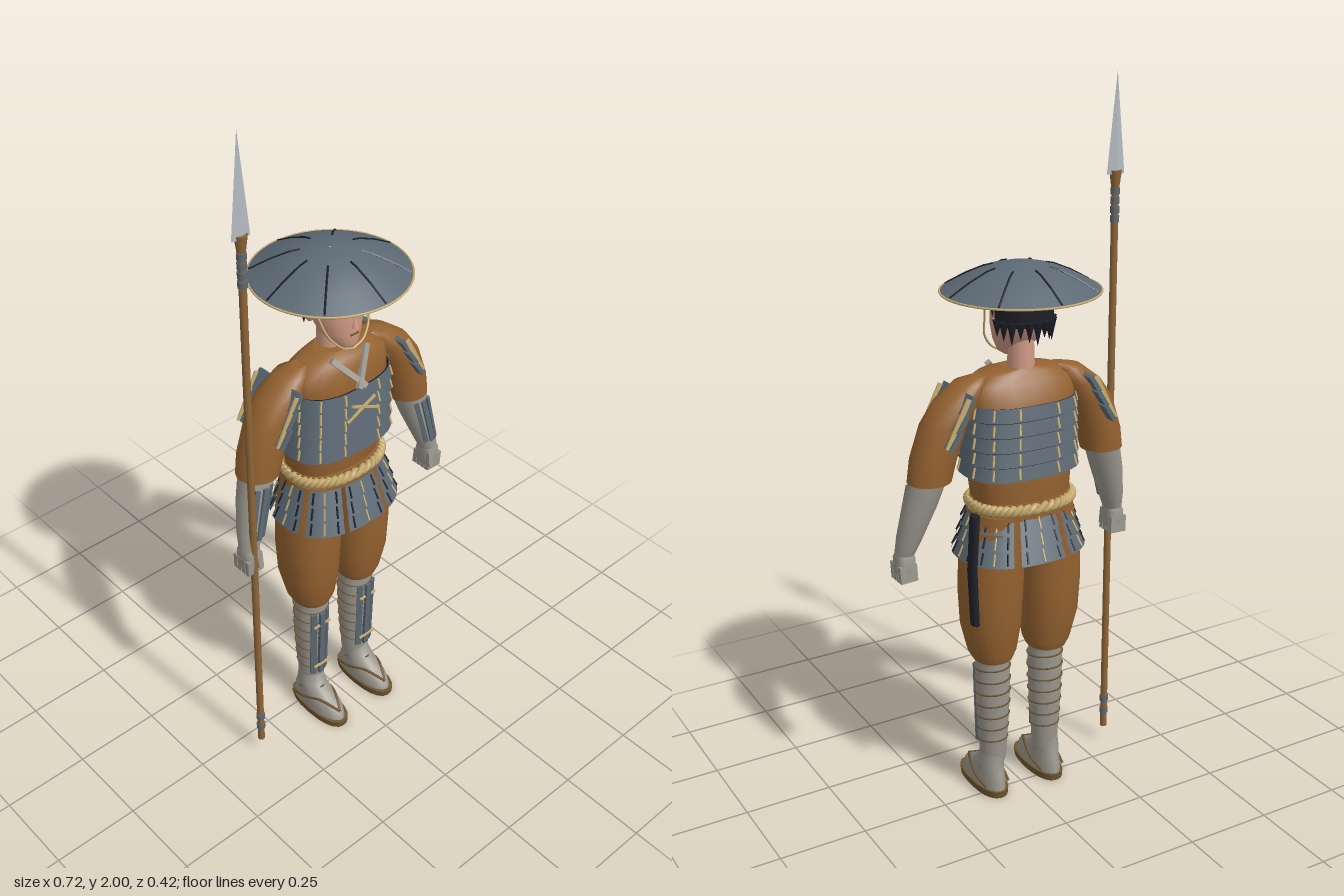
import * as THREE from 'three';

const mat = (name, color, side = THREE.FrontSide) => {
  const m = new THREE.MeshStandardMaterial({ color, side });
  m.name = name;
  return m;
};
const V = (x, y, z) => new THREE.Vector3(x, y, z);
const rad = THREE.MathUtils.degToRad;

export function createModel() {
  const cloth = mat('brown cloth', 0x946230);
  const steel = mat('blue grey iron', 0x5c6974, THREE.DoubleSide);
  const wrap = mat('grey wrap', 0x9a978d);
  const skin = mat('skin', 0xcf9a84);
  const dark = mat('black lacquer', 0x1e2029, THREE.DoubleSide);
  const rope = mat('straw rope', 0xc9ad70);
  const wood = mat('wood', 0x8e6638);
  const blade = mat('polished blade', 0xb4bbc1);
  const sole = mat('straw sole', 0x6e5631);

  const root = new THREE.Group();
  root.name = 'footSoldier';
  const part = (name, parent = root) => {
    const g = new THREE.Group();
    g.name = name;
    parent.add(g);
    return g;
  };
  const add = (parent, name, geo, m) => {
    const mesh = new THREE.Mesh(geo, m);
    mesh.name = name;
    parent.add(mesh);
    return mesh;
  };

  // Point on a rounded-square ring; angle 0 is the front, 90 degrees is +x
  const onRing = (a, rx, rz, e = 1) => {
    const f = v => Math.sign(v) * Math.abs(v) ** e;
    return [rx * f(Math.sin(a)), rz * f(Math.cos(a))];
  };
  // Skin over horizontal rings [x, y, z, rx, rz] listed bottom to top
  const loft = (rings, { seg = 20, e = 1, a0 = 0, a1 = 360, caps = true } = {}) => {
    const pos = [], idx = [], closed = a1 - a0 === 360;
    const n = closed ? seg : seg + 1;
    const ring = r => {
      for (let j = 0; j < n; j++) {
        const [x, z] = onRing(rad(a0 + (a1 - a0) * j / seg), r[3], r[4], e);
        pos.push(r[0] + x, r[1], r[2] + z);
      }
    };
    rings.forEach(ring);
    for (let i = 0; i < rings.length - 1; i++) for (let j = 0; j < seg; j++) {
      const a = i * n + j, b = i * n + (j + 1) % n;
      idx.push(a, b, b + n, a, b + n, a + n);
    }
    if (caps && closed) [rings[0], rings.at(-1)].forEach((r, top) => {
      const s = pos.length / 3;
      ring(r);
      pos.push(r[0], r[1], r[2]);
      for (let j = 0; j < seg; j++) {
        const k = s + (j + 1) % n;
        top ? idx.push(s + j, k, s + n) : idx.push(k, s + j, s + n);
      }
    });
    const g = new THREE.BufferGeometry();
    g.setAttribute('position', new THREE.Float32BufferAttribute(pos, 3));
    g.setIndex(idx);
    g.computeVertexNormals();
    return g;
  };
  // Box stretched between two points, turned by yaw about its own length
  const bar = (parent, name, a, b, w, d, m, yaw = 0) => {
    const dir = b.clone().sub(a);
    const mesh = add(parent, name, new THREE.BoxGeometry(w, dir.length(), d), m);
    mesh.position.copy(a).add(b).multiplyScalar(0.5);
    mesh.quaternion.setFromUnitVectors(V(0, 1, 0), dir.normalize());
    mesh.rotateY(yaw);
    return mesh;
  };
  const tube = (parent, name, pts, r, m) =>
    add(parent, name, new THREE.TubeGeometry(new THREE.CatmullRomCurve3(pts), 24, r, 6), m);

  // Torso
  const body = part('body');
  add(body, 'torso', loft([[0, 0.85, 0.005, 0.13, 0.09], [0, 0.93, 0.005, 0.142, 0.095], [0, 1.0, 0.01, 0.15, 0.1],
    [0, 1.15, 0.012, 0.158, 0.1], [0, 1.2, 0.015, 0.162, 0.09], [0, 1.235, 0.02, 0.152, 0.075],
    [0, 1.258, 0.02, 0.115, 0.062], [0, 1.27, 0.01, 0.05, 0.045]], { e: 0.85 }), cloth);
  for (const s of [-1, 1])
    bar(body, 'collarBand', V(-s * 0.012, 1.185, 0.125), V(s * 0.06, 1.268, 0.072), 0.016, 0.012, wrap);

  // Cuirass of overlapping lames with laces
  const cuirass = part('cuirass', body);
  add(cuirass, 'lining', loft([[0, 0.99, 0.014, 0.155, 0.106], [0, 1.185, 0.014, 0.152, 0.104]],
    { e: 0.75, seg: 32, caps: false }), dark);
  for (let i = 0; i < 5; i++) {
    const y = 0.985 + i * 0.041, rx = 0.166 - i * 0.001;
    add(cuirass, 'lame', loft([[0, y, 0.014, rx, 0.116], [0, y + 0.037, 0.014, rx - 0.008, 0.109]],
      { e: 0.75, seg: 32, caps: false }), steel);
    for (let k = 0; k < 12; k++) {
      const a = rad(k * 30 + 15);
      const [x0, z0] = onRing(a, rx + 0.001, 0.117, 0.75), [x1, z1] = onRing(a, rx - 0.006, 0.111, 0.75);
      bar(cuirass, 'lace', V(x0, y + 0.006, 0.014 + z0), V(x1, y + 0.034, 0.014 + z1), 0.005, 0.004, rope);
    }
  }
  for (const s of [-1, 1])
    bar(cuirass, 'chestCord', V(-s * 0.055, 1.10, 0.13), V(s * 0.04, 1.145, 0.13), 0.006, 0.006, rope);

  // Twisted rope belt
  const belt = part('belt', body);
  add(belt, 'sash', loft([[0, 0.865, 0.006, 0.144, 0.1], [0, 0.915, 0.006, 0.144, 0.1]], { e: 0.85 }), cloth);
  for (const phase of [0, Math.PI]) {
    const pts = [];
    for (let i = 0; i < 140; i++) {
      const a = i / 140 * Math.PI * 2, t = a * 22 + phase;
      const [x, z] = onRing(a, 0.143 + 0.006 * Math.cos(t), 0.107 + 0.006 * Math.cos(t), 0.85);
      pts.push(V(x, 0.9 + 0.008 * Math.sin(t), 0.006 + z));
    }
    add(belt, 'ropeStrand', new THREE.TubeGeometry(new THREE.CatmullRomCurve3(pts, true), 280, 0.009, 5, true), rope);
  }

  // Hanging skirt panels, three rows each
  const skirt = part('skirtArmour', body);
  for (const [mid, half] of [[0, 17], [43, 21], [90, 18], [135, 20], [180, 18], [225, 20], [270, 18], [317, 21]])
    for (let i = 0; i < 3; i++) {
      const y = 0.75 + i * 0.043, k = i * 0.012;
      add(skirt, 'skirtLame', loft([[0, y, 0.015, 0.187 - k, 0.146 - k], [0, y + 0.041, 0.015, 0.169 - k, 0.128 - k]],
        { e: 0.85, seg: 8, a0: mid - half, a1: mid + half }), steel);
      for (const off of [-0.7, 0, 0.7]) {
        const a = rad(mid + half * off);
        const [x0, z0] = onRing(a, 0.186 - k, 0.145 - k, 0.85), [x1, z1] = onRing(a, 0.172 - k, 0.131 - k, 0.85);
        bar(skirt, 'skirtLace', V(x0, y + 0.006, 0.015 + z0), V(x1, y + 0.036, 0.015 + z1), 0.004, 0.004, off ? dark : rope);
      }
    }

  // Scabbard on the left hip
  add(part('scabbard'), 'sheath', loft([[0.182, 0.585, -0.066, 0.011, 0.018], [0.182, 0.74, -0.054, 0.012, 0.019],
    [0.165, 0.89, -0.04, 0.012, 0.02]], { seg: 12 }), dark);

  // Limbs, mirrored
  for (const s of [-1, 1]) {
    const side = s > 0 ? 'left' : 'right';
    const arm = part(side + 'Arm');
    add(arm, 'sleeve', loft([[s * 0.268, 0.99, 0.018, 0.06, 0.058], [s * 0.256, 1.05, 0.017, 0.064, 0.061],
      [s * 0.225, 1.14, 0.015, 0.065, 0.061], [s * 0.185, 1.2, 0.014, 0.063, 0.06],
      [s * 0.145, 1.245, 0.014, 0.045, 0.045], [s * 0.12, 1.258, 0.014, 0.02, 0.02]]), cloth);
    add(arm, 'forearm', loft([[s * 0.331, 0.785, 0.048, 0.027, 0.029], [s * 0.32, 0.83, 0.04, 0.035, 0.036],
      [s * 0.294, 0.92, 0.027, 0.047, 0.044], [s * 0.27, 1.0, 0.018, 0.052, 0.048]]), wrap);
    add(arm, 'palm', loft([[s * 0.333, 0.715, 0.047, 0.021, 0.026], [s * 0.333, 0.74, 0.047, 0.027, 0.031],
      [s * 0.333, 0.775, 0.048, 0.027, 0.03], [s * 0.331, 0.79, 0.048, 0.022, 0.024]], { e: 0.7 }), wrap);
    for (let i = 0; i < 4; i++)
      bar(arm, 'finger', V(s * 0.333, 0.712, 0.022 + i * 0.016), V(s * 0.335, 0.76, 0.024 + i * 0.016), 0.05, 0.013, wrap);
    bar(arm, 'thumb', V(s * 0.318, 0.725, 0.076), V(s * 0.318, 0.775, 0.07), 0.016, 0.014, wrap);
    for (const k of [-1, 0, 1])
      bar(arm, 'forearmSplint', V(s * 0.32 + k * 0.017, 0.82, 0.077 - Math.abs(k) * 0.006),
        V(s * 0.284 + k * 0.022, 0.97, 0.07 - Math.abs(k) * 0.006), 0.013, 0.008, steel, k * 0.4);
    // Shoulder guard, three tilted rows
    for (let i = 0; i < 3; i++)
      bar(arm, 'shoulderGuard', V(s * (0.25 - i * 0.022), 1.095 + i * 0.043, 0.011),
        V(s * (0.22 - i * 0.022), 1.142 + i * 0.043, 0.011), 0.012, 0.178 - i * 0.008, steel);
    for (const z of [-0.068, 0.09])
      bar(arm, 'guardLace', V(s * 0.256, 1.1, z), V(s * 0.192, 1.226, z), 0.014, 0.004, rope);

    const leg = part(side + 'Leg');
    add(leg, 'trouser', loft([[s * 0.087, 0.43, 0.012, 0.054, 0.06], [s * 0.088, 0.455, 0.012, 0.066, 0.07],
      [s * 0.092, 0.54, 0.011, 0.083, 0.085], [s * 0.092, 0.64, 0.01, 0.088, 0.091],
      [s * 0.088, 0.76, 0.008, 0.087, 0.092], [s * 0.075, 0.88, 0.006, 0.072, 0.09]], { e: 0.9 }), cloth);
    // Wrapped shin with overlapping turns
    const turns = [], x = s * 0.086;
    for (let i = 0; i < 9; i++) {
      const y = 0.1 + i * 0.038, w = 0.037 + 0.012 * Math.sin(i / 8 * 1.9);
      turns.push([x, y, 0.012, w - 0.002, w - 0.001], [x, y + 0.034, 0.012, w + 0.002, w + 0.003]);
      if (i > 0 && i < 8) {
        const edge = add(leg, 'wrapEdge', new THREE.TorusGeometry(w + 0.002, 0.0025, 5, 20), sole);
        edge.rotation.x = Math.PI / 2 + 0.08;
        edge.position.set(x, y + 0.034, 0.012);
      }
    }
    add(leg, 'shinWrap', loft(turns), wrap);
    for (const k of [-1, 0, 1])
      bar(leg, 'shinSplint', V(s * 0.09 + k * 0.022, 0.15, 0.058 - Math.abs(k) * 0.008),
        V(s * 0.09 + k * 0.024, 0.395, 0.067 - Math.abs(k) * 0.009), 0.018, 0.01, steel, k * 0.5);
    for (const y of [0.19, 0.35])
      bar(leg, 'splintTie', V(s * 0.09 - 0.03, y, 0.066), V(s * 0.09 + 0.03, y, 0.066), 0.005, 0.006, rope);

    // Foot and sandal
    const fx = s * 0.092;
    add(leg, 'sandalSole', loft([[fx, 0, 0.057, 0.045, 0.108], [fx, 0.02, 0.057, 0.046, 0.11]], { e: 0.85 }), sole);
    add(leg, 'foot', loft([[fx, 0.02, 0.055, 0.042, 0.103], [fx, 0.045, 0.052, 0.042, 0.096],
      [fx, 0.07, 0.035, 0.039, 0.07], [fx, 0.095, 0.018, 0.037, 0.046], [s * 0.088, 0.13, 0.012, 0.036, 0.038]]), wrap);
    for (const k of [-1, 1])
      tube(leg, 'sandalStrap', [V(fx, 0.045, 0.148), V(fx + k * 0.028, 0.068, 0.09), V(fx + k * 0.042, 0.05, 0.03),
        V(fx + k * 0.036, 0.03, -0.025)], 0.004, sole);
    tube(leg, 'ankleTie', [V(fx - 0.04, 0.08, 0.01), V(fx, 0.09, 0.068), V(fx + 0.04, 0.08, 0.01)], 0.004, sole);
  }

  // Head and face
  const head = part('head');
  add(head, 'neck', new THREE.CylinderGeometry(0.034, 0.038, 0.12, 16).translate(0, 1.3, 0), skin);
  add(head, 'skull', loft([[0, 1.288, 0.062, 0.016, 0.02], [0, 1.302, 0.05, 0.038, 0.042], [0, 1.335, 0.033, 0.058, 0.06],
    [0, 1.38, 0.018, 0.072, 0.075], [0, 1.42, 0.01, 0.076, 0.08], [0, 1.46, 0.003, 0.074, 0.08],
    [0, 1.5, 0, 0.055, 0.06]], { seg: 24 }), skin);
  add(head, 'nose', new THREE.ConeGeometry(0.011, 0.042, 6).translate(0, 1.375, 0.094), skin);
  bar(head, 'mouth', V(-0.013, 1.335, 0.091), V(0.013, 1.335, 0.091), 0.004, 0.008, sole);
  for (const s of [-1, 1]) {
    const ear = add(head, 'ear', new THREE.SphereGeometry(0.016, 10, 8), skin);
    ear.scale.set(0.5, 1.3, 1);
    ear.position.set(s * 0.077, 1.385, 0.005);
    bar(head, 'eye', V(s * 0.02, 1.4, 0.09), V(s * 0.048, 1.403, 0.074), 0.01, 0.006, dark);
    bar(head, 'brow', V(s * 0.016, 1.417, 0.09), V(s * 0.052, 1.424, 0.072), 0.006, 0.006, dark);
    tube(head, 'chinCord', [V(s * 0.1, 1.475, 0.01), V(s * 0.083, 1.4, 0.045), V(s * 0.07, 1.345, 0.07),
      V(s * 0.035, 1.303, 0.088), V(0, 1.288, 0.088)], 0.003, rope);
  }

  // Hair with hanging locks
  const hair = part('hair', head);
  add(hair, 'hairCap', loft([[0, 1.45, 0, 0.083, 0.09], [0, 1.505, 0, 0.06, 0.065]]), dark);
  add(hair, 'hairBack', loft([[0, 1.39, -0.002, 0.08, 0.08], [0, 1.42, -0.002, 0.085, 0.086],
    [0, 1.46, 0, 0.083, 0.088]], { a0: 95, a1: 265 }), dark);
  for (let i = 0; i < 22; i++) {
    const deg = i * 360 / 22, back = deg > 90 && deg < 270;
    const [x, z] = onRing(rad(deg), 0.079, 0.085);
    const len = 0.045 + 0.018 * (i * 7 % 3) / 2;
    const lock = add(hair, 'lock', new THREE.ConeGeometry(0.014, len, 5), dark);
    lock.rotation.x = Math.PI;
    lock.position.set(x, (back ? 1.4 : 1.465) - len / 2 + 0.005, z);
  }

  // Wide hat with ribs
  const hat = part('hat');
  const profile = [[0.213, 1.473], [0.15, 1.508], [0.1, 1.53], [0.05, 1.543], [0.002, 1.547]];
  add(hat, 'crown', loft(profile.map(([r, y]) => [0, y, 0, r, r * 0.975]), { seg: 48, caps: false }), steel);
  const rim = add(hat, 'rim', new THREE.TorusGeometry(0.212, 0.003, 6, 48), rope);
  rim.rotation.x = Math.PI / 2;
  rim.scale.y = 0.975;
  rim.position.y = 1.473;
  for (let i = 0; i < 8; i++) {
    const path = [[0.207, 1.477], [0.15, 1.509], [0.1, 1.531], [0.076, 1.537]].map(([r, y]) => {
      const [x, z] = onRing(i * Math.PI / 4, r, r * 0.975);
      return V(x, y, z);
    });
    for (let k = 0; k < 3; k++) bar(hat, 'rib', path[k], path[k + 1], 0.004, 0.004, dark);
  }

  // Spear held in the right hand
  const spear = part('spear');
  spear.position.set(-0.333, 0, 0.07);
  add(spear, 'shaft', new THREE.CylinderGeometry(0.01, 0.01, 1.68, 12).translate(0, 0.89, 0), wood);
  for (const y of [0.105, 0.145, 1.61, 1.635, 1.66, 1.685])
    add(spear, 'binding', new THREE.CylinderGeometry(0.0125, 0.0125, 0.018, 12).translate(0, y, 0), steel);
  const point = new THREE.ConeGeometry(0.028, 0.27, 4).translate(0, 1.865, 0).scale(1, 1, 0.32).toNonIndexed();
  point.computeVertexNormals();
  add(spear, 'blade', point, blade);
  add(spear, 'socket', new THREE.CylinderGeometry(0.017, 0.011, 0.045, 12).translate(0, 1.718, 0), wood);
  return root;
}
